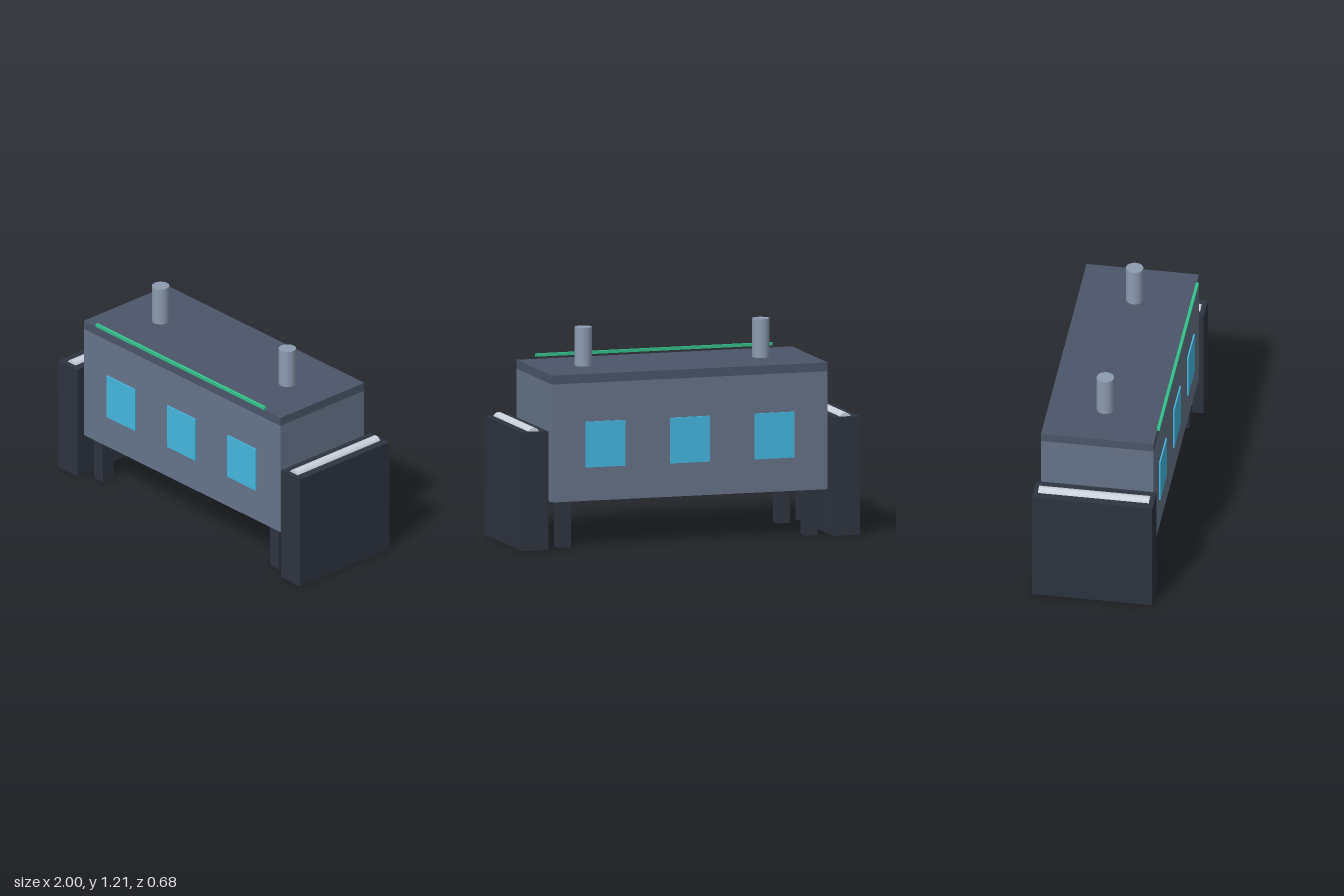
import * as THREE from 'three';

const mat = (color) => new THREE.MeshStandardMaterial({ color });

export function createModel() {
  const model = new THREE.Group();
  const slate = mat(0x66748a), roofGrey = mat(0x4b5669), dark = mat(0x2d3440);
  const glass = mat(0x45b8e0), steel = mat(0x8d9cb1), pale = mat(0xcbd2dc), green = mat(0x34c08c);

  const add = (name, geometry, material, x, y, z) => {
    const mesh = new THREE.Mesh(geometry, material);
    mesh.name = name;
    mesh.position.set(x, y, z);
    model.add(mesh);
    return mesh;
  };
  const box = (name, material, w, h, d, x, y, z) =>
    add(name, new THREE.BoxGeometry(w, h, d), material, x, y, z);

  // Main housing with a flush lid
  box('body', slate, 1.63, 0.67, 0.64, 0, 0.6, 0);
  box('lid', roofGrey, 1.63, 0.05, 0.64, 0, 0.96, 0);

  // Thin rail along the front top edge
  box('frontRail', green, 1.4, 0.017, 0.017, 0, 1.005, 0.329);

  // Three window panels on the front and the back
  for (const side of [1, -1]) {
    for (const x of [-0.5, 0, 0.5]) {
      box('window', glass, 0.235, 0.26, 0.016, x, 0.585, side * 0.32);
    }
  }

  for (const side of [1, -1]) {
    // End block with a roller half sunk in its top
    box('endBlock', dark, 0.157, 0.673, 0.684, side * 0.9215, 0.3365, 0);
    const roller = add('roller', new THREE.CylinderGeometry(0.035, 0.035, 0.63, 24), pale, side * 0.921, 0.659, 0);
    roller.rotation.x = Math.PI / 2;

    // Chimney
    add('chimney', new THREE.CylinderGeometry(0.049, 0.049, 0.22, 24), steel, side * 0.525, 1.095, 0);

    // Legs
    for (const z of [0.248, -0.248]) {
      box('leg', dark, 0.077, 0.265, 0.077, side * 0.729, 0.1325, z);
    }
  }
  return model;
}
